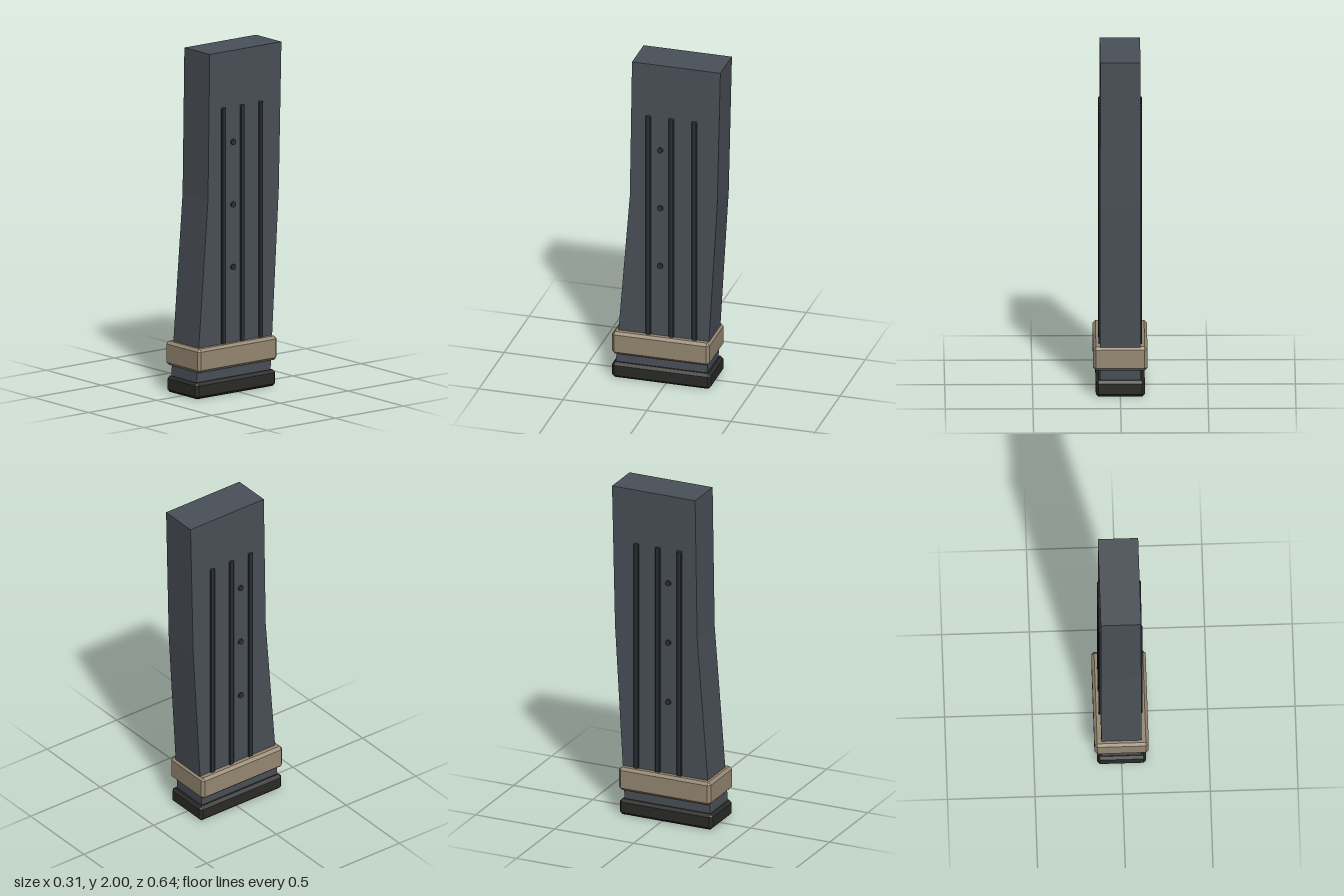
import * as THREE from 'three';
import { ConvexGeometry } from 'three/addons/geometries/ConvexGeometry.js';

const paint = (color) => new THREE.MeshStandardMaterial({ color, flatShading: true });

// Box with every edge cut by a flat chamfer c
function chamferBox(w, h, d, c) {
  const points = [];
  const [x, y, z] = [w / 2, h / 2, d / 2];
  for (const i of [-1, 1]) for (const j of [-1, 1]) for (const k of [-1, 1]) {
    points.push(
      new THREE.Vector3(i * x, j * (y - c), k * (z - c)),
      new THREE.Vector3(i * (x - c), j * y, k * (z - c)),
      new THREE.Vector3(i * (x - c), j * (y - c), k * z));
  }
  return new ConvexGeometry(points);
}

export function createModel() {
  const group = new THREE.Group();
  const bodyMat = paint(0x4a5058);
  const trimMat = paint(0x2b2f34);
  const collarMat = paint(0x968872);
  const baseMat = paint(0x2a2a28);

  function add(name, geometry, material, x, y, z) {
    const mesh = new THREE.Mesh(geometry, material);
    mesh.name = name;
    mesh.position.set(x, y, z);
    group.add(mesh);
    return mesh;
  }

  // Body: curved side profile (z, y) extruded across the width
  const profile = [
    [0.304, 0.05], [0.284, 0.3], [0.217, 1.15], [0.204, 2],
    [-0.322, 2], [-0.303, 1.15], [-0.254, 0.3], [-0.24, 0.05],
  ].map(([z, y]) => new THREE.Vector2(-z, y));
  const body = new THREE.ExtrudeGeometry(new THREE.Shape(profile), { depth: 0.23, bevelEnabled: false });
  body.translate(0, 0, -0.115).rotateY(Math.PI / 2);
  add('body', body, bodyMat, 0, 0, 0);

  // Collar band and base plate
  add('collar', chamferBox(0.31, 0.14, 0.58, 0.016), collarMat, 0, 0.225, 0.025);
  add('basePlate', chamferBox(0.28, 0.095, 0.588, 0.016), baseMat, 0, 0.0475, 0.026);

  // Raised ribs and rivets on both sides
  const rib = chamferBox(0.02, 1.455, 0.031, 0.004);
  const rivet = new THREE.CylinderGeometry(0.017, 0.017, 0.02, 12).rotateZ(Math.PI / 2);
  for (const [side, label] of [[1, 'left'], [-1, 'right']]) {
    for (const z of [0.105, -0.032, -0.168]) add(label + 'Rib', rib, trimMat, side * 0.115, 0.9475, z);
    for (const y of [0.735, 1.1, 1.465]) add(label + 'Rivet', rivet, trimMat, side * 0.115, y, 0.035);
  }
  return group;
}
